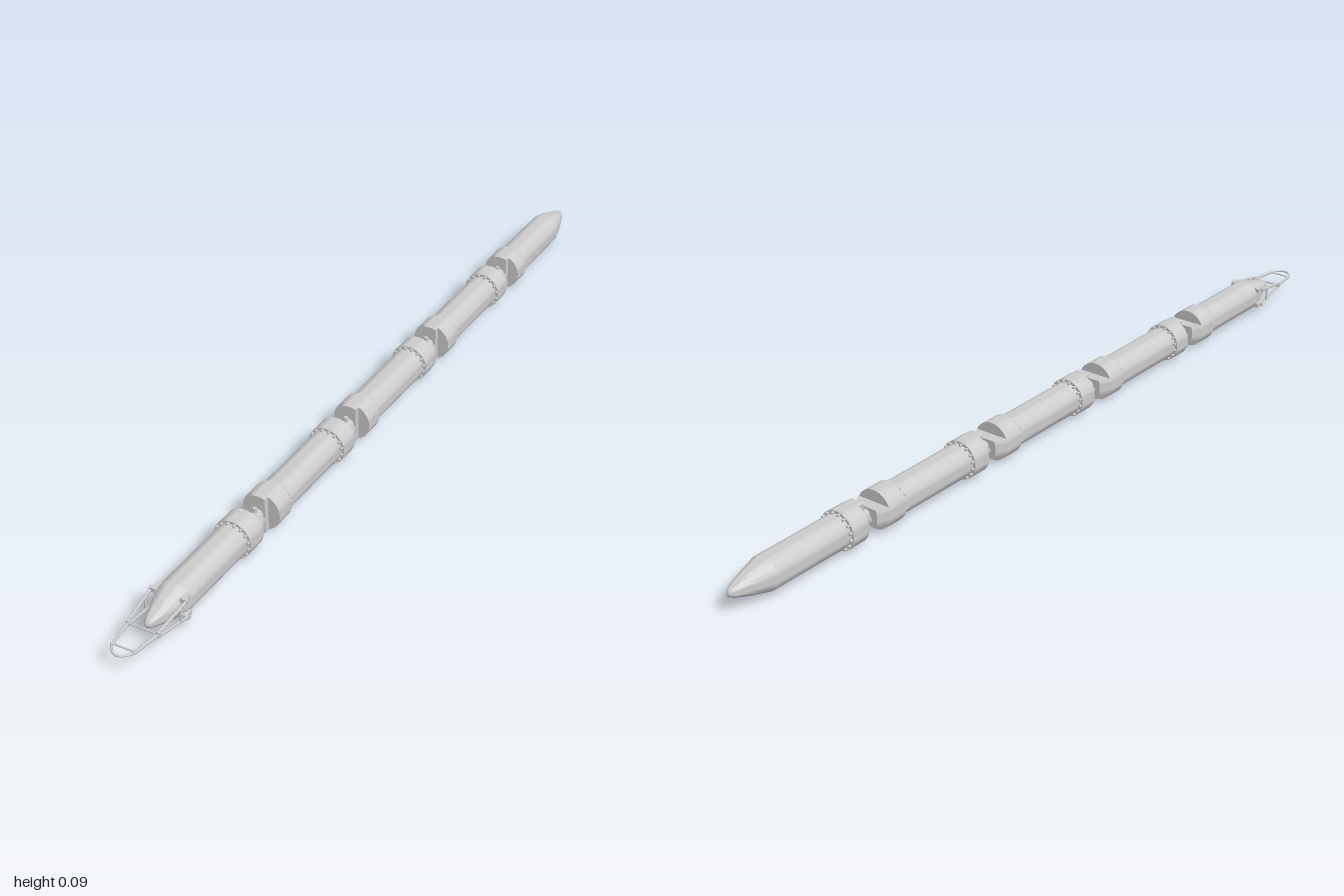
import * as THREE from 'three';
import { toCreasedNormals } from 'three/addons/utils/BufferGeometryUtils.js';

const AXIS = 0.046;   // height of the centre line
const BODY = 0.038;   // tube radius
const COLLAR = 0.0445; // collar radius
const mat = new THREE.MeshStandardMaterial({ color: 0xcccccc, side: THREE.DoubleSide });

function add(parent, name, geometry) {
  const mesh = new THREE.Mesh(geometry, mat);
  mesh.name = name;
  parent.add(mesh);
  return mesh;
}

// Surface of revolution along z from [radius, z] pairs
function turned(profile) {
  const pts = profile.map(([r, z]) => new THREE.Vector2(r, z));
  return toCreasedNormals(new THREE.LatheGeometry(pts, 32).rotateX(Math.PI / 2), 0.6);
}

// Slab with round ends, long in x or y, running from z0 to z1
function tongue(half, z0, z1, alongX, endScale) {
  const a = Math.asin(half / COLLAR);
  const shape = new THREE.Shape();
  shape.absarc(0, 0, COLLAR, -a, a, false);
  shape.absarc(0, 0, COLLAR, Math.PI - a, Math.PI + a, false);
  const geo = new THREE.ExtrudeGeometry(shape, { depth: Math.abs(z1 - z0), bevelEnabled: false, curveSegments: 8 });
  if (!alongX) geo.rotateZ(Math.PI / 2);
  geo.translate(0, 0, Math.min(z0, z1));
  const p = geo.attributes.position;
  for (let i = 0; i < p.count; i++) {
    if (Math.abs(p.getZ(i) - z1) < 1e-4) p.setX(i, p.getX(i) * endScale);
  }
  geo.computeVertexNormals();
  return toCreasedNormals(geo, 0.6);
}

// Ring of small bolts where a collar meets the tube
function bolts(parent, z) {
  const ring = new THREE.Group();
  ring.name = 'collarBolts';
  for (let i = 0; i < 16; i++) {
    const a = (i + 0.5) * Math.PI / 8;
    const g = new THREE.CylinderGeometry(0.0028, 0.0028, 0.008, 8).rotateX(Math.PI / 2);
    add(ring, 'bolt', g).position.set(Math.cos(a) * 0.0405, Math.sin(a) * 0.0405, z);
  }
  parent.add(ring);
}

function rod(parent, name, from, to, r) {
  const a = new THREE.Vector3(...from), b = new THREE.Vector3(...to);
  const m = add(parent, name, new THREE.CylinderGeometry(r, r, a.distanceTo(b), 8));
  m.position.copy(a).add(b).multiplyScalar(0.5);
  m.quaternion.setFromUnitVectors(new THREE.Vector3(0, 1, 0), b.sub(a).normalize());
}

// Rounded cone profile from the tube to a blunt tip
function nose(z, dir) {
  return [[BODY, 0], [0.034, 0.016], [0.027, 0.042], [0.019, 0.067], [0.012, 0.086], [0.007, 0.094], [0, 0.098]]
    .map(([r, d]) => [r, z + dir * d]);
}

function frontCollar(seg, joint) {
  const z = joint - 0.025;
  add(seg, 'frontCollar', turned([[0, z - 0.046], [COLLAR, z - 0.046], [COLLAR, z], [0, z]]));
  add(seg, 'frontYoke', tongue(0.017, z, joint - 0.012, false, 1));
  bolts(seg, z - 0.049);
}

function rearCollar(seg, joint) {
  const z = joint + 0.038;
  add(seg, 'rearCollar', turned([[0, z], [COLLAR, z], [COLLAR, z + 0.048], [0, z + 0.048]]));
  add(seg, 'rearYoke', tongue(0.018, z, joint + 0.012, true, 0.7));
  bolts(seg, z + 0.051);
}

export function createModel() {
  const model = new THREE.Group();
  model.name = 'jointedRobot';
  const core = new THREE.Group();
  core.position.y = AXIS;
  model.add(core);

  const joints = [0.505, 0.128, -0.25, -0.627];
  const names = ['headSegment', 'secondSegment', 'middleSegment', 'fourthSegment', 'tailSegment'];

  names.forEach((name, i) => {
    const seg = new THREE.Group();
    seg.name = name;
    core.add(seg);
    const front = i > 0 ? joints[i - 1] : null;
    const rear = i < 4 ? joints[i] : null;
    if (front !== null) frontCollar(seg, front);
    if (rear !== null) rearCollar(seg, rear);
    const z0 = rear !== null ? rear + 0.06 : -0.902;
    const z1 = front !== null ? front - 0.05 : 0.8;
    add(seg, 'tube', turned([[0, z0], [BODY, z0], [BODY, z1], [0, z1]]));
    if (i === 0) add(seg, 'headCone', turned(nose(0.8, 1)));
    if (i === 4) add(seg, 'tailCone', turned(nose(-0.902, -1)));
  });

  // Universal joints: neck with a cross of two pins
  for (const z of joints) {
    const joint = new THREE.Group();
    joint.name = 'universalJoint';
    rod(joint, 'neck', [0, 0, z - 0.03], [0, 0, z + 0.04], 0.014);
    rod(joint, 'yawPin', [0, -0.024, z], [0, 0.024, z], 0.005);
    rod(joint, 'pitchPin', [-0.024, 0, z], [0.024, 0, z], 0.005);
    core.add(joint);
  }

  // Gripper frame around the head cone
  const gripper = new THREE.Group();
  gripper.name = 'gripper';
  core.add(gripper);
  for (const s of [-1, 1]) {
    for (const t of [-1, 1]) {
      add(gripper, 'hingeBlock', new THREE.BoxGeometry(0.012, 0.01, 0.022)).position.set(s * 0.034, t * 0.02, 0.812);
      rod(gripper, 'hingePin', [s * 0.028, t * 0.02, 0.817], [s * 0.045, t * 0.02, 0.817], 0.005);
      rod(gripper, 'armStrut', [s * 0.041, t * 0.02, 0.815], [s * 0.035, t * 0.004, 0.91], 0.0032);
    }
    rod(gripper, 'armBrace', [s * 0.041, -0.016, 0.84], [s * 0.041, 0.016, 0.84], 0.003);
    rod(gripper, 'fingerRail', [s * 0.036, 0, 0.9], [s * 0.025, 0, 0.975], 0.0035);
  }
  rod(gripper, 'rearCrossbar', [-0.035, 0, 0.907], [0.035, 0, 0.907], 0.002);
  rod(gripper, 'frontCrossbar', [-0.026, 0, 0.97], [0.026, 0, 0.97], 0.002);
  const tip = new THREE.QuadraticBezierCurve3(
    new THREE.Vector3(-0.025, 0, 0.975), new THREE.Vector3(0, 0, 1.015), new THREE.Vector3(0.025, 0, 0.975));
  add(gripper, 'tipBow', new THREE.TubeGeometry(tip, 16, 0.0025, 8));

  return model;
}
